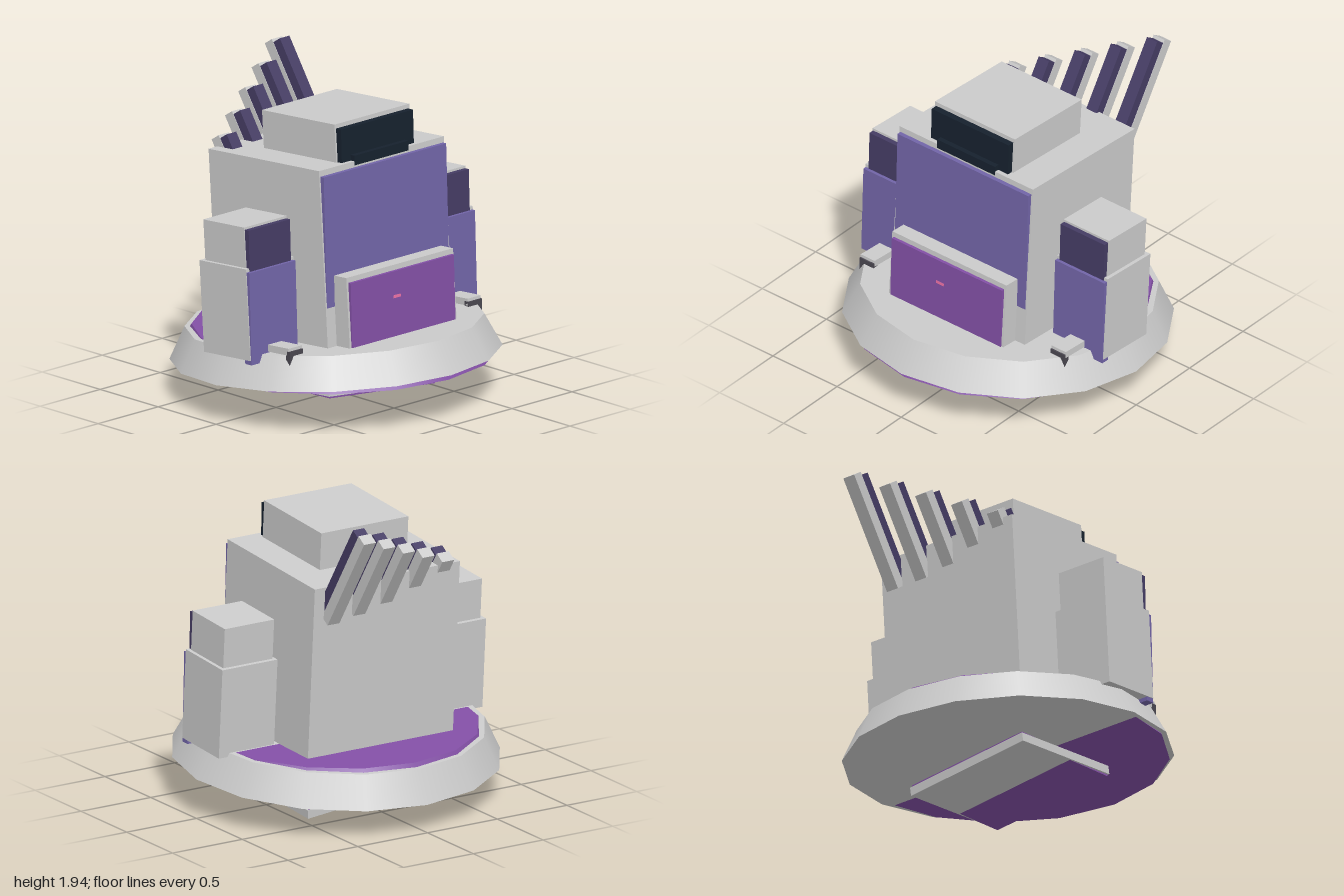
import * as THREE from 'three';

const GREY = 0xcccccc, VIOLET = 0x7265a8, MAGENTA = 0x8350a6, DUSK = 0x453c64, NAVY = 0x16212e;
const LEAN = -0.07;   // backward lean of the grey shell
const HALF = -0.035;  // weaker lean of the coloured inlays

const mat = (color) => new THREE.MeshStandardMaterial({ color });

function add(parent, name, geometry, color, pos = [0, 0, 0], rot = [0, 0, 0]) {
  const mesh = new THREE.Mesh(geometry, mat(color));
  mesh.name = name;
  mesh.position.set(...pos);
  mesh.rotation.set(...rot);
  parent.add(mesh);
  return mesh;
}

// Box given by its extents [min, max] on each axis
function block(parent, name, color, [x0, x1], [y0, y1], [z0, z1]) {
  return add(parent, name, new THREE.BoxGeometry(x1 - x0, y1 - y0, z1 - z0), color,
    [(x0 + x1) / 2, (y0 + y1) / 2, (z0 + z1) / 2]);
}

// Coloured front panel given by its extents, turned by the weaker lean
function panel(parent, name, color, xs, ys, zs) {
  const mesh = block(parent, name, color, xs, ys, zs);
  mesh.rotation.x = HALF;
  return mesh;
}

export function createModel() {
  const model = new THREE.Group();
  const shell = new THREE.Group();
  shell.name = 'shell';
  shell.rotation.x = LEAN;
  model.add(shell);

  // Round base with its coloured inlay
  add(shell, 'base', new THREE.CylinderGeometry(0.9, 1, 0.198, 16), GREY, [0, 0.35, 0.017]);
  add(model, 'baseInlay', new THREE.CylinderGeometry(0.865, 0.97, 0.19, 16), MAGENTA,
    [0, 0.349, 0], [HALF, 0, 0]);

  // Sloping plate under the base
  add(model, 'lowerPlate', new THREE.BoxGeometry(0.9, 0.055, 0.79), GREY, [0, 0.107, 0.015], [LEAN, 0, -0.1]);
  add(model, 'lowerPlateInlay', new THREE.BoxGeometry(0.88, 0.052, 0.775), MAGENTA, [0, 0.107, 0.015], [HALF, 0, -0.1]);

  // Torso, front plate and head
  block(shell, 'torso', GREY, [-0.52, 0.52], [0.42, 1.545], [-0.455, 0.5]);
  panel(model, 'torsoPanel', VIOLET, [-0.51, 0.51], [0.5, 1.54], [0.38, 0.44]);
  block(shell, 'frontPlate', GREY, [-0.445, 0.445], [0.42, 0.885], [0.48, 0.612]);
  panel(model, 'frontPlatePanel', MAGENTA, [-0.43, 0.43], [0.41, 0.893], [0.53, 0.58]);
  panel(model, 'marker', 0xee72a6, [-0.08, -0.02], [0.728, 0.746], [0.56, 0.579]);
  block(shell, 'head', GREY, [-0.312, 0.312], [1.53, 1.78], [-0.192, 0.434]);
  panel(model, 'visor', NAVY, [-0.3, 0.3], [1.57, 1.78], [0.29, 0.357]);
  panel(model, 'visorSill', NAVY, [-0.225, 0.225], [1.55, 1.61], [0.32, 0.393]);
  add(model, 'dome', new THREE.SphereGeometry(0.167, 16, 12), GREY, [0, 1.45, -0.315]);

  // Arms and toes, mirrored
  for (const s of [1, -1]) {
    const span = (a, b) => (s > 0 ? [a, b] : [-b, -a]);
    block(shell, 'lowerArm', GREY, span(0.55, 0.945), [0.425, 0.992], [-0.131, 0.27]);
    panel(model, 'lowerArmPanel', VIOLET, span(0.555, 0.94), [0.415, 0.988], [0.18, 0.235]);
    block(shell, 'upperArm', GREY, span(0.568, 0.922), [0.97, 1.243], [-0.104, 0.248]);
    panel(model, 'upperArmPanel', DUSK, span(0.573, 0.917), [0.98, 1.243], [0.14, 0.2]);

    // Toe bar with a pointed dark tip
    block(shell, 'toe', GREY, span(0.69, 0.8), [0.455, 0.498], [0.26, 0.455]);
    const claw = new THREE.Shape([[0.69, 0.51], [0.8, 0.51], [0.8, 0.425], [0.768, 0.48], [0.69, 0.48]]
      .map(([x, y]) => new THREE.Vector2(s * x, y)));
    add(model, 'toeTip', new THREE.ExtrudeGeometry(claw, { depth: 0.035, bevelEnabled: false }),
      0x4a4750, [0, 0, 0.395]);
  }

  // Fan of back spines, growing toward the left
  for (let i = 0; i < 5; i++) {
    const k = 4 - i, length = 0.73 - 0.125 * k;
    const spine = new THREE.Group();
    spine.name = 'spine';
    // the group origin sits at the upper rear edge of each spine
    spine.position.set(-0.405 + 0.2025 * i, 1.89 - 0.087 * k, -0.99 + 0.095 * k);
    spine.rotation.x = -0.58;
    model.add(spine);
    block(spine, 'spineBar', GREY, [-0.043, 0.043], [-length, 0], [0, 0.072]);
    block(spine, 'spineRidge', DUSK, [-0.04, 0.04], [-length + 0.03, -0.02], [0.07, 0.138]);
  }

  return model;
}
